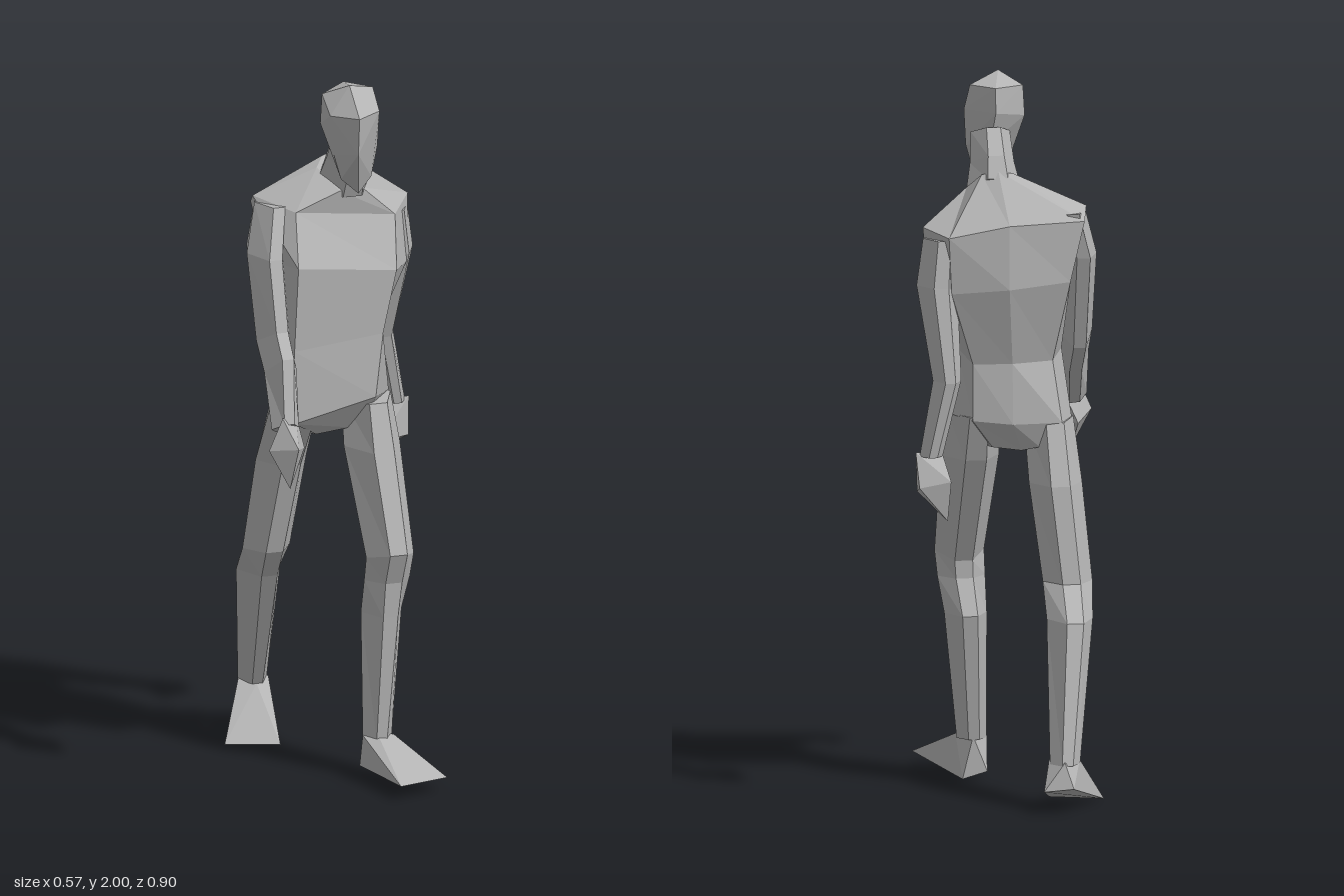
import * as THREE from 'three';
import { ConvexGeometry } from 'three/addons/geometries/ConvexGeometry.js';

const grey = new THREE.MeshStandardMaterial({ color: 0xb4b4b4, flatShading: true });
grey.name = 'plain grey';

// Skin a stack of rings, listed from top to bottom, and cap both ends.
function loft(rings) {
  const pos = [];
  const tri = (...corners) => corners.forEach((p) => pos.push(...p));
  const middle = (ring) => [0, 1, 2].map((k) => ring.reduce((s, p) => s + p[k], 0) / ring.length);
  const n = rings[0].length;
  const last = rings.length - 1;
  for (let j = 0; j < n; j++) {
    const m = (j + 1) % n;
    for (let i = 0; i < last; i++) {
      tri(rings[i][j], rings[i][m], rings[i + 1][j]);
      tri(rings[i][m], rings[i + 1][m], rings[i + 1][j]);
    }
    tri(middle(rings[0]), rings[0][m], rings[0][j]);
    tri(middle(rings[last]), rings[last][j], rings[last][m]);
  }
  const geo = new THREE.BufferGeometry();
  geo.setAttribute('position', new THREE.Float32BufferAttribute(pos, 3));
  geo.computeVertexNormals();
  return geo;
}

// Six-sided limb section that fills x0..x1, z0..z1; tilt raises its front.
function section([y, x0, x1, z0, z1, tilt = 0]) {
  const shape = [[1, 0], [0.36, 1], [-0.36, 1], [-1, 0], [-0.36, -1], [0.36, -1]];
  return shape.map(([u, v]) => [
    (x0 + x1) / 2 + (u * (x1 - x0)) / 2,
    y + v * tilt,
    (z0 + z1) / 2 + (v * (z1 - z0)) / 2,
  ]);
}
const limb = (rows) => loft(rows.map(section));
const hull = (points) => new ConvexGeometry(points.map((p) => new THREE.Vector3(...p)));

export function createModel() {
  const group = new THREE.Group();
  const add = (name, geo) => {
    const mesh = new THREE.Mesh(geo, grey);
    mesh.name = name;
    group.add(mesh);
  };

  // Head, bowed forward, with a pointed chin
  add('head', hull([
    [0, 2, 0.16], [0.03, 1.97, 0.025], [-0.06, 1.965, 0.1], [0.09, 1.97, 0.1],
    [0, 1.925, 0.245], [-0.06, 1.92, 0.17], [0.085, 1.92, 0.17],
    [0.105, 1.9, 0.11], [0.03, 1.9, 0.02], [-0.065, 1.88, 0.1],
    [0, 1.82, 0.235], [-0.045, 1.8, 0.16], [0.1, 1.8, 0.11], [0.04, 1.81, 0.05],
    [0.03, 1.68, 0.15], [-0.025, 1.73, 0.16], [0.075, 1.72, 0.13],
  ]));
  add('neck', limb([
    [1.84, -0.02, 0.09, 0.03, 0.14, -0.02],
    [1.76, -0.025, 0.1, -0.03, 0.11, -0.03],
    [1.69, -0.04, 0.115, -0.06, 0.08, -0.04],
  ]));

  // Torso rings: left, two front, right, three back points
  add('torso', loft([
    [[0.115, 1.7, 0], [0.07, 1.67, 0.07], [0, 1.67, 0.08], [-0.04, 1.72, 0],
      [-0.01, 1.74, -0.04], [0.035, 1.75, -0.05], [0.08, 1.74, -0.04]],
    [[0.25, 1.6, -0.06], [0.17, 1.58, 0.06], [-0.13, 1.62, 0.08], [-0.215, 1.645, -0.04],
      [-0.2, 1.61, -0.1], [0.02, 1.61, -0.15], [0.19, 1.58, -0.145]],
    [[0.225, 1.42, 0], [0.15, 1.44, 0.13], [-0.15, 1.48, 0.16], [-0.18, 1.47, 0.04],
      [-0.16, 1.44, -0.1], [0.02, 1.43, -0.15], [0.18, 1.42, -0.13]],
    [[0.145, 1.25, 0], [0.11, 1.26, 0.13], [-0.16, 1.24, 0.155], [-0.16, 1.23, 0.05],
      [-0.12, 1.21, -0.04], [0, 1.21, -0.08], [0.11, 1.21, -0.07]],
    [[0.165, 1.06, 0.02], [0.085, 1.08, 0.14], [-0.16, 1.03, 0.155], [-0.185, 1.03, 0.02],
      [-0.14, 1.04, -0.08], [0, 1.04, -0.09], [0.11, 1.05, -0.07]],
    [[0.1, 0.98, 0.03], [0.03, 0.98, 0.08], [-0.07, 0.97, 0.08], [-0.14, 0.97, 0],
      [-0.08, 0.97, -0.06], [-0.03, 0.96, -0.05], [0.05, 0.97, -0.04]],
  ]));

  // Left arm swings back, right arm swings forward
  add('leftArm', limb([
    [1.57, 0.15, 0.25, -0.13, 0],
    [1.44, 0.155, 0.27, -0.15, 0],
    [1.18, 0.155, 0.235, -0.2, -0.08],
    [0.97, 0.21, 0.275, -0.19, -0.12],
  ]));
  add('leftHand', hull([
    [0.285, 0.98, -0.15], [0.21, 0.98, -0.14], [0.285, 0.89, -0.215], [0.2, 0.91, -0.24],
    [0.21, 0.8, -0.24], [0.18, 0.87, -0.1], [0.28, 0.87, -0.14],
  ]));
  add('rightArm', limb([
    [1.63, -0.215, -0.12, -0.1, 0.05],
    [1.5, -0.255, -0.15, -0.07, 0.12],
    [1.27, -0.257, -0.16, 0.03, 0.19, 0.04],
    [1.2, -0.26, -0.165, 0.12, 0.25, 0.05],
    [1.06, -0.27, -0.19, 0.24, 0.31, 0.02],
  ]));
  add('rightHand', hull([
    [-0.29, 1.01, 0.31], [-0.25, 1.1, 0.31], [-0.22, 1.02, 0.36], [-0.175, 1, 0.28],
    [-0.19, 1.09, 0.25], [-0.235, 0.9, 0.33], [-0.24, 0.98, 0.24],
  ]));

  // Left leg steps forward, right leg trails
  add('leftLeg', limb([
    [1.06, 0.02, 0.165, -0.07, 0.14],
    [0.93, 0.01, 0.175, -0.02, 0.19],
    [0.64, 0.03, 0.17, 0.14, 0.29, 0.02],
    [0.57, 0.03, 0.165, 0.14, 0.255],
    [0.47, 0.03, 0.15, 0.09, 0.25],
    [0.11, 0.025, 0.11, 0.16, 0.24],
  ]));
  add('leftFoot', hull([
    [0.025, 0.12, 0.2], [0.06, 0.12, 0.24], [0.11, 0.12, 0.22], [0.07, 0.12, 0.16],
    [0.03, 0.02, 0.16], [0.1, 0, 0.16], [0.05, 0.04, 0.45], [0.2, 0.04, 0.41],
  ]));
  add('rightLeg', limb([
    [1.04, -0.19, -0.05, -0.08, 0.14],
    [0.87, -0.2, -0.05, -0.145, 0.03],
    [0.6, -0.22, -0.08, -0.18, -0.04],
    [0.51, -0.205, -0.075, -0.3, -0.11],
    [0.13, -0.14, -0.055, -0.42, -0.33],
  ]));
  add('rightFoot', hull([
    [-0.14, 0.14, -0.37], [-0.1, 0.13, -0.33], [-0.055, 0.14, -0.36], [-0.09, 0.14, -0.42],
    [-0.11, 0.07, -0.45], [-0.03, 0.06, -0.425], [-0.235, 0, -0.215], [-0.09, 0, -0.16],
  ]));

  return group;
}
